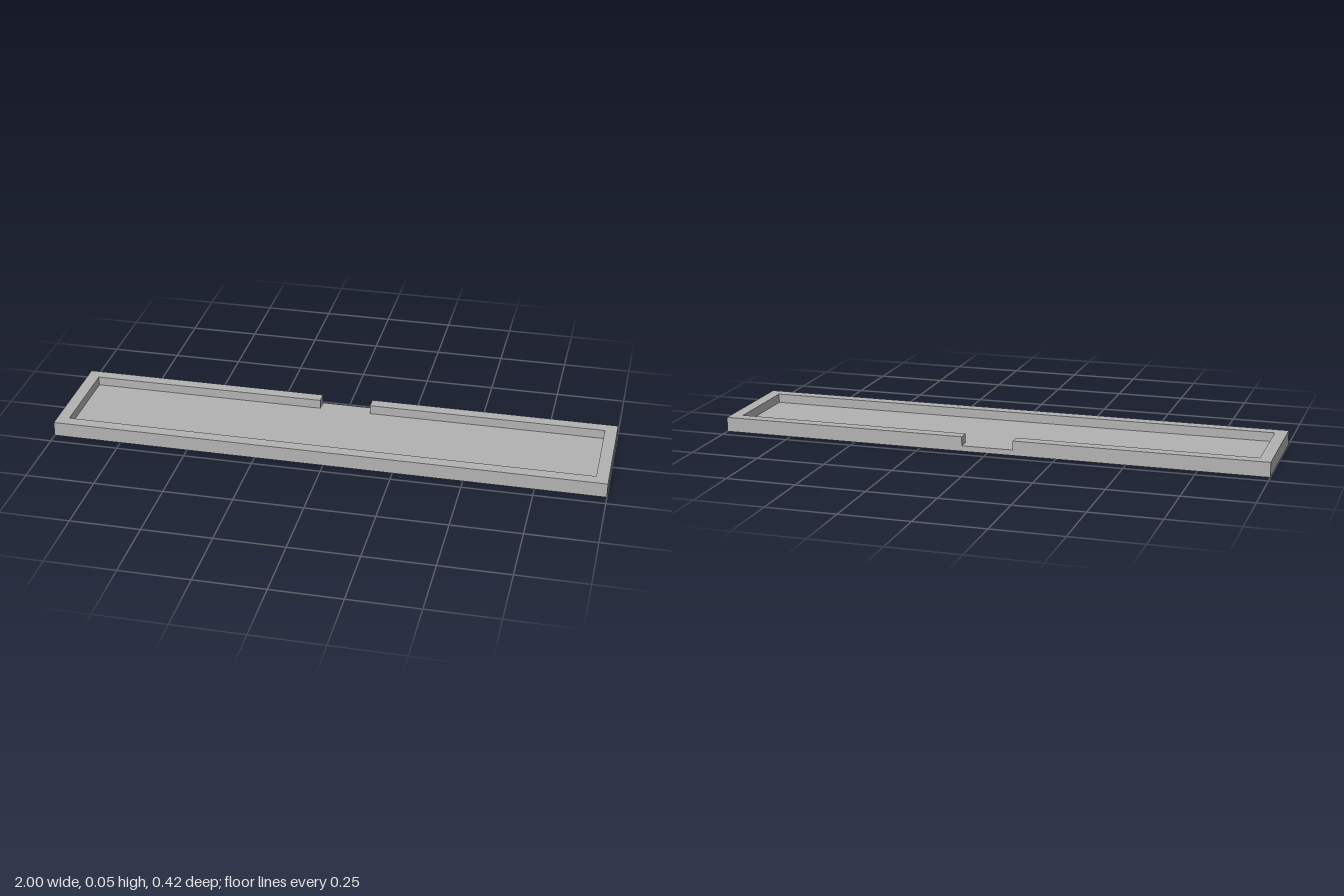
import * as THREE from 'three';

const W = 1, D = 0.208;         // half width and half depth
const H = 0.053, FLOOR = 0.02;  // overall height, floor thickness
const RIM = 0.044;              // rim wall thickness
const GAP = 0.094;              // half width of the opening in the back rim

export function createModel() {
  const model = new THREE.Group();
  model.name = 'tray';
  const grey = new THREE.MeshStandardMaterial({ color: 0xb2b2b2 });
  grey.name = 'grey';

  // Flat floor slab
  const floor = new THREE.Mesh(new THREE.BoxGeometry(2 * W, FLOOR, 2 * D), grey);
  floor.name = 'floor';
  floor.position.y = FLOOR / 2;
  model.add(floor);

  // Rim: one C-shaped outline, open at the back (shape y becomes -z)
  const half = [
    [GAP, D], [GAP, D - RIM], [W - RIM, D - RIM], [W - RIM, -D + RIM],
  ];
  const inner = [...half, ...half.map(([x, y]) => [-x, y]).reverse()];
  const outline = [...inner, [-W, D], [-W, -D], [W, -D], [W, D]];
  const shape = new THREE.Shape(outline.map(([x, y]) => new THREE.Vector2(x, y)));
  const rimGeometry = new THREE.ExtrudeGeometry(shape, { depth: H - FLOOR, bevelEnabled: false });
  rimGeometry.rotateX(-Math.PI / 2);
  const rim = new THREE.Mesh(rimGeometry, grey);
  rim.name = 'rim';
  rim.position.y = FLOOR;
  model.add(rim);

  return model;
}
